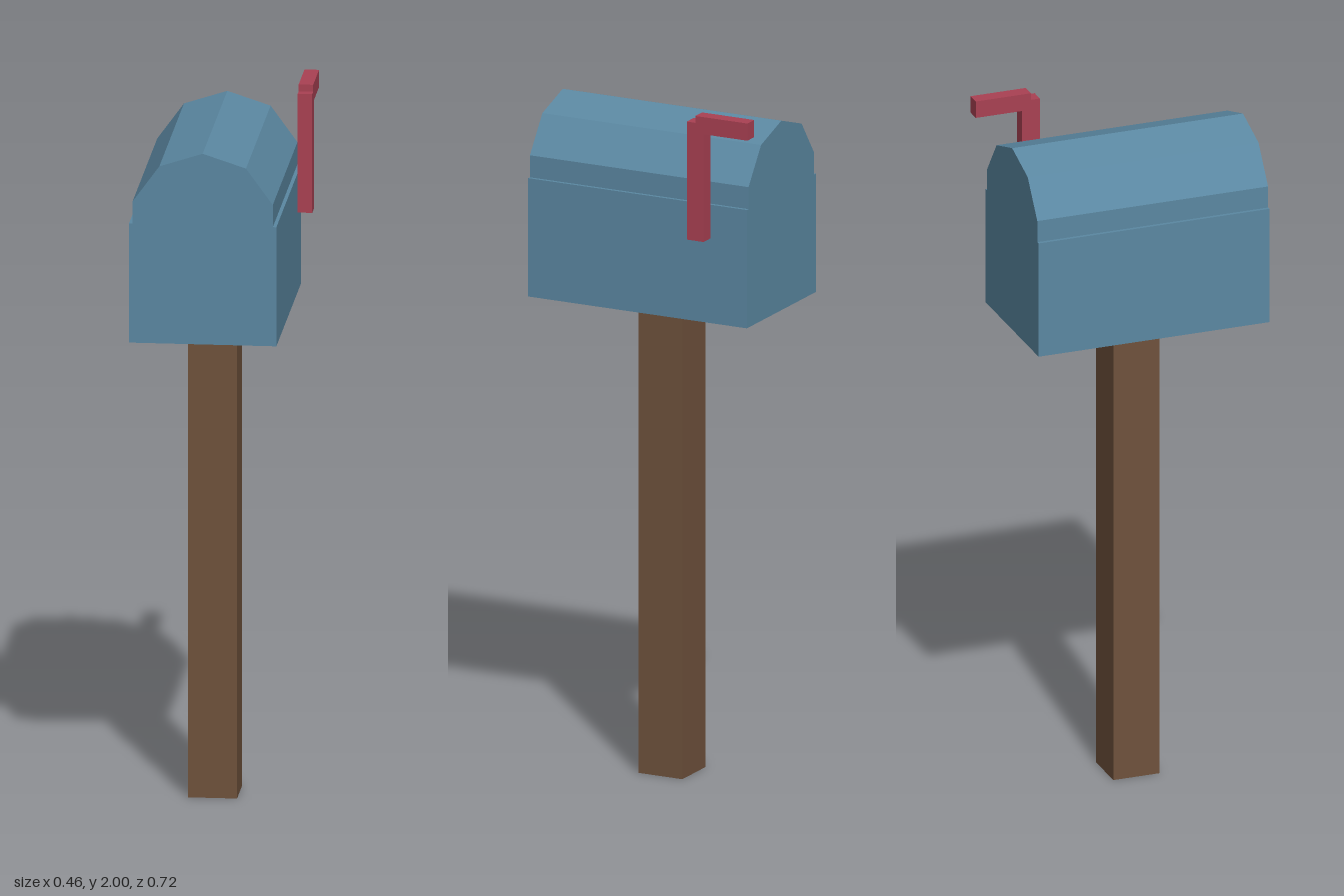
import * as THREE from 'three';

export function createModel() {
  const model = new THREE.Group();
  model.name = 'mailbox';
  const paint = (name, color) => {
    const m = new THREE.MeshStandardMaterial({ color });
    m.name = name;
    return m;
  };
  const blue = paint('blue metal', 0x5b88a2);
  const wood = paint('brown wood', 0x6f523c);
  const red = paint('red flag', 0xaa4153);

  const add = (parent, name, geometry, material) => {
    const mesh = new THREE.Mesh(geometry, material);
    mesh.name = name;
    parent.add(mesh);
    return mesh;
  };
  // Box given by its minimum and maximum corners
  const addBox = (parent, name, min, max, material) => {
    const size = max.map((v, i) => v - min[i]);
    const mesh = add(parent, name, new THREE.BoxGeometry(...size), material);
    mesh.position.set(...max.map((v, i) => (v + min[i]) / 2));
  };

  const cx = -0.0245, cz = 0.013;

  // Square post
  addBox(model, 'post', [cx - 0.069, 0, cz - 0.069], [cx + 0.069, 1.387, cz + 0.069], wood);

  // Box body with a faceted roof: the upper half of a ten-sided barrel
  const half = 0.2075, baseY = 1.387, shoulderY = 1.732, depth = 0.692;
  const points = [[-half, baseY], [half, baseY], [half, shoulderY], [half * Math.cos(Math.PI / 10), shoulderY]];
  for (let i = 0; i < 5; i++) {
    const a = THREE.MathUtils.degToRad(18 + i * 36);
    points.push([half * Math.cos(a), shoulderY + half * Math.sin(a)]);
  }
  points.push([-half * Math.cos(Math.PI / 10), shoulderY], [-half, shoulderY]);
  const outline = new THREE.Shape(points.map(([x, y]) => new THREE.Vector2(x, y)));
  const body = add(model, 'letterBox', new THREE.ExtrudeGeometry(outline, { depth, bevelEnabled: false }), blue);
  body.position.set(cx, 0, cz - depth / 2);

  // Raised signal flag on the left side
  const flag = new THREE.Group();
  flag.name = 'flag';
  model.add(flag);
  addBox(flag, 'flagStem', [0.19, 1.636, -0.221], [0.231, 1.98, -0.168], red);
  addBox(flag, 'flagArm', [0.19, 1.95, -0.36], [0.231, 2, -0.195], red);

  return model;
}
